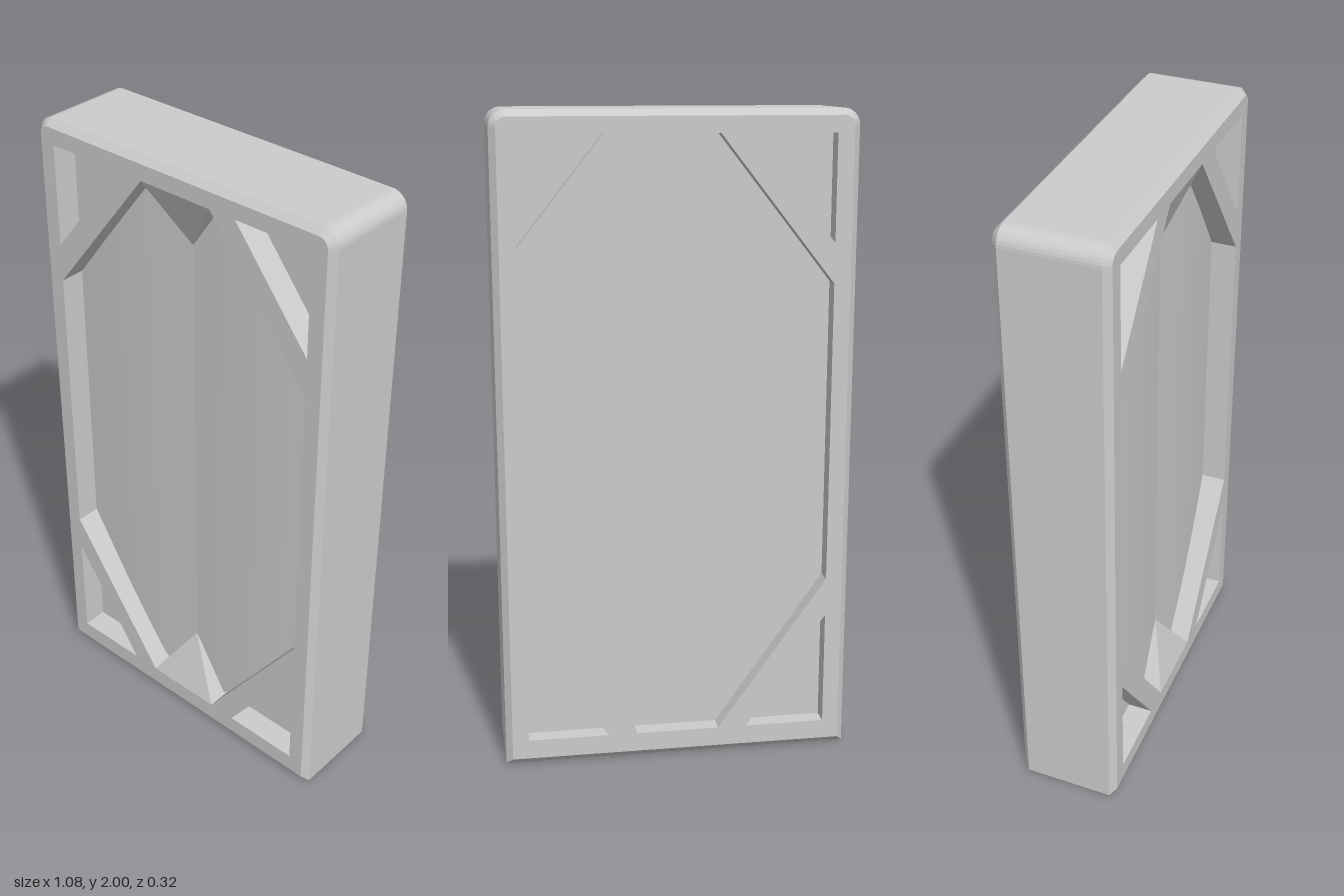
import * as THREE from 'three';

const W = 0.54, H = 2, FRONT = 0.16, BACK = 0.165, CHAMFER = 0.02;
const FRONT_DEPTH = 0.08, BACK_DEPTH = 0.055;
const material = new THREE.MeshStandardMaterial({ color: 0xcccccc, side: THREE.DoubleSide });

function addMesh(parent, name, geometry, z = 0) {
  const mesh = new THREE.Mesh(geometry, material);
  mesh.name = name;
  mesh.position.z = z;
  parent.add(mesh);
  return mesh;
}

// Flat-shaded geometry from a list of [x, y, z] triangle corners
function fromCorners(corners) {
  const g = new THREE.BufferGeometry();
  g.setAttribute('position', new THREE.Float32BufferAttribute(corners.flat(), 3));
  g.computeVertexNormals();
  return g;
}

// Closed band through rings running front to back; counter-clockwise rings face outward
function loft(rings) {
  const corners = [];
  for (let j = 0; j + 1 < rings.length; j++) {
    const n = rings[j].length;
    for (let i = 0; i < n; i++) {
      const k = (i + 1) % n;
      const a = rings[j][i], b = rings[j + 1][i], c = rings[j + 1][k], d = rings[j][k];
      corners.push(a, b, c, a, c, d);
    }
  }
  return fromCorners(corners);
}

// Outline with square bottom corners and rounded top corners
function outline(inset) {
  const r = 0.05 - inset, x = W - inset, top = H - inset;
  const pts = [[-x, inset], [x, inset]];
  for (const [cx, start] of [[x - r, 0], [r - x, Math.PI / 2]]) {
    for (let i = 0; i <= 8; i++) {
      const a = start + (i / 8) * Math.PI / 2;
      pts.push([cx + r * Math.cos(a), top - r + r * Math.sin(a)]);
    }
  }
  return pts;
}

const toVectors = pts => pts.map(([x, y]) => new THREE.Vector2(x, y));
const mirror = pts => pts.map(([x, y]) => [-x, y]).reverse();
const atZ = (pts, z) => pts.map(([x, y]) => [x, y, z]);

// Recess outlines, counter-clockwise
const OCTAGON = [[-0.13, 0.08], [0.13, 0.08], [0.47, 0.56], [0.47, 1.49],
  [0.125, 1.93], [-0.125, 1.93], [-0.47, 1.49], [-0.47, 0.56]];
const TOP_CORNER = [[0.47, 1.61], [0.47, 1.93], [0.215, 1.93]];
const BOTTOM_CORNER = [[0.22, 0.08], [0.47, 0.08], [0.47, 0.44]];
const CORNERS = [TOP_CORNER, mirror(TOP_CORNER), BOTTOM_CORNER, mirror(BOTTOM_CORNER)];

// One pierced face with its recess walls and corner floors, facing +z
function createFace(name, depth) {
  const face = new THREE.Group();
  face.name = name;
  const shape = new THREE.Shape(toVectors(outline(CHAMFER)));
  for (const pts of [OCTAGON, ...CORNERS]) {
    shape.holes.push(new THREE.Path(toVectors(pts)));
    const inward = [...pts].reverse();
    addMesh(face, 'recessWall', loft([atZ(inward, 0), atZ(inward, -depth)]));
  }
  addMesh(face, 'rim', new THREE.ShapeGeometry(shape));
  for (const pts of CORNERS) {
    addMesh(face, 'cornerFloor', new THREE.ShapeGeometry(new THREE.Shape(toVectors(pts))), -depth);
  }
  return face;
}

// Gently bowed half of the front floor, from the centre crease to one side
function floorHalf(side) {
  const n = 16, pos = [], index = [];
  for (let i = 0; i <= n; i++) {
    const t = i / n, x = 0.47 * t;
    const top = x < 0.125 ? 1.93 : THREE.MathUtils.mapLinear(x, 0.125, 0.47, 1.93, 1.49);
    const bottom = x < 0.13 ? 0.08 : THREE.MathUtils.mapLinear(x, 0.13, 0.47, 0.08, 0.56);
    const z = -0.074 - 0.006 * t + 0.01 * Math.sin(Math.PI * t);
    pos.push(side * x, bottom, z, side * x, top, z);
    if (i < n) {
      const a = 2 * i, b = a + 1, c = a + 2, d = a + 3;
      index.push(...(side > 0 ? [a, c, d, a, d, b] : [a, d, c, a, b, d]));
    }
  }
  const g = new THREE.BufferGeometry();
  g.setAttribute('position', new THREE.Float32BufferAttribute(pos, 3));
  g.setIndex(index);
  g.computeVertexNormals();
  return g;
}

// Sloped triangular gusset from the rim down to the end of the centre crease
function gusset(halfWidth, baseY, apexY) {
  const l = [-halfWidth, baseY, 0], r = [halfWidth, baseY, 0], apex = [0, apexY, -0.072];
  const lowL = [-halfWidth, baseY, -FRONT_DEPTH], lowR = [halfWidth, baseY, -FRONT_DEPTH];
  const corners = [l, apex, r, l, lowL, apex, r, apex, lowR];
  if (baseY < apexY) {
    for (let i = 0; i < corners.length; i += 3) {
      [corners[i + 1], corners[i + 2]] = [corners[i + 2], corners[i + 1]];
    }
  }
  return fromCorners(corners);
}

export function createModel() {
  const model = new THREE.Group();
  model.name = 'panel';

  // Outer sides with chamfered front and back edges
  addMesh(model, 'outerSides', loft([
    atZ(outline(CHAMFER), FRONT), atZ(outline(0), FRONT - CHAMFER),
    atZ(outline(0), CHAMFER - BACK), atZ(outline(CHAMFER), -BACK),
  ]));

  // Front face: bowed floor with a crease and two end gussets
  const front = createFace('frontFace', FRONT_DEPTH);
  front.position.z = FRONT;
  for (const side of [-1, 1]) addMesh(front, 'frontFloor', floorHalf(side));
  addMesh(front, 'topGusset', gusset(0.125, 1.93, 1.75));
  addMesh(front, 'bottomGusset', gusset(0.13, 0.08, 0.28));
  model.add(front);

  // Back face: flat octagonal floor
  const back = createFace('backFace', BACK_DEPTH);
  back.rotation.y = Math.PI;
  back.position.z = -BACK;
  addMesh(back, 'backFloor', new THREE.ShapeGeometry(new THREE.Shape(toVectors(OCTAGON))), -BACK_DEPTH);
  model.add(back);

  return model;
}
